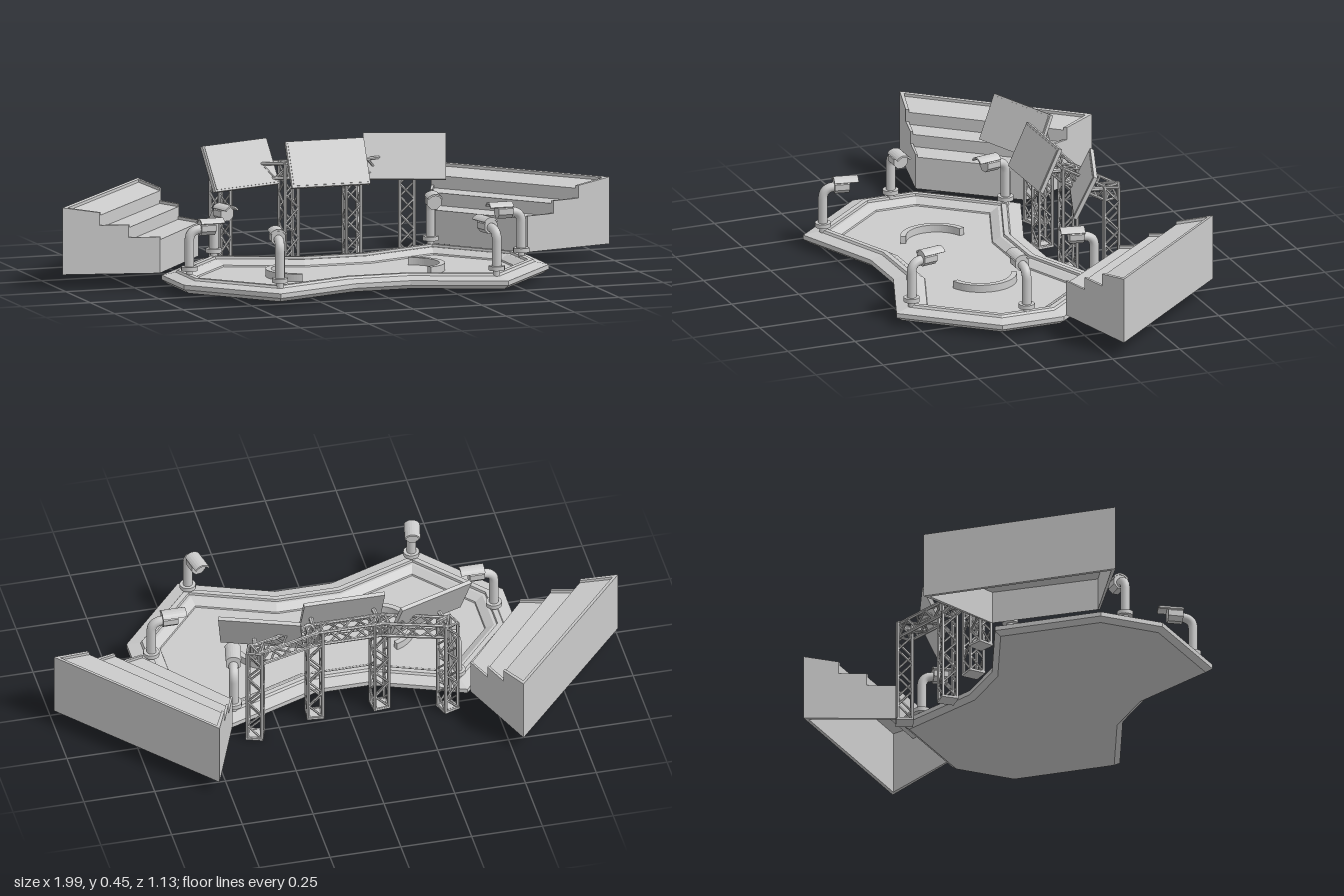
import * as THREE from 'three';
import { mergeGeometries } from 'three/addons/utils/BufferGeometryUtils.js';

const flat = new THREE.MeshStandardMaterial({ color: 0xcccccc, flatShading: true, side: THREE.DoubleSide });
const smooth = new THREE.MeshStandardMaterial({ color: 0xcccccc });
const V = (x, y, z) => new THREE.Vector3(x, y, z);

function add(parent, name, geo, mat = flat) {
  const mesh = new THREE.Mesh(geo, mat);
  mesh.name = name;
  parent.add(mesh);
  return mesh;
}

function fromTriangles(points) {
  const geo = new THREE.BufferGeometry().setFromPoints(points);
  geo.computeVertexNormals();
  return geo;
}

// ---- Platform: bow-tie outline, stacked as inset rings ----
const CZ = 0.155;
const half = [[0.1, 0.285], [0.415, 0.405], [0.665, 0.115], [0.665, -0.115], [0.415, -0.405], [0.1, -0.285]];
const outline = [...half, ...half.map(([x, z]) => [-x, z]).reverse()].map(([x, z]) => new THREE.Vector2(x, z + CZ));

function insetOutline(k) {
  const n = outline.length;
  const normal = (a, b) => new THREE.Vector2(b.y - a.y, a.x - b.x).normalize();
  return outline.map((p, i) => {
    const n1 = normal(outline[(i + n - 1) % n], p);
    const n2 = normal(p, outline[(i + 1) % n]);
    return n1.clone().add(n2).multiplyScalar(k / (1 + n1.dot(n2))).add(p);
  });
}

function cap(k, y) {
  const shape = new THREE.Shape(insetOutline(k).map(p => new THREE.Vector2(p.x, -p.y)));
  return new THREE.ShapeGeometry(shape).rotateX(-Math.PI / 2).translate(0, y, 0);
}

function buildPlatform(parent) {
  const group = new THREE.Group();
  group.name = 'platform';
  const profile = [[0.02, 0.015], [0, 0.03], [0, 0.046], [0.045, 0.056], [0.05, 0.064], [0.068, 0.064],
    [0.07, 0.056], [0.08, 0.056], [0.108, 0.04], [0.11, 0.035]];
  const rings = profile.map(([k, y]) => insetOutline(k).map(p => V(p.x, y, p.y)));
  const tris = [];
  for (let r = 0; r < rings.length - 1; r++) {
    const a = rings[r], b = rings[r + 1];
    a.forEach((p, i) => {
      const j = (i + 1) % a.length;
      tris.push(p, a[j], b[j], p, b[j], b[i]);
    });
  }
  add(group, 'rim', fromTriangles(tris));
  add(group, 'floor', cap(0.11, 0.035));
  const bottom = cap(0.02, 0.015);
  bottom.index.array.reverse();
  bottom.attributes.normal.array.forEach((v, i, arr) => { arr[i] = -v; });
  add(group, 'underside', bottom);

  // Curved benches on the floor
  for (const s of [-1, 1]) {
    const shape = new THREE.Shape();
    shape.absarc(0, 0, 0.125, -1.25, 1.25, false);
    shape.absarc(0, 0, 0.105, 1.25, -1.25, true);
    const bench = new THREE.ExtrudeGeometry(shape, { depth: 0.026, bevelEnabled: false, curveSegments: 16 });
    bench.rotateX(-Math.PI / 2);
    if (s < 0) bench.rotateY(Math.PI);
    add(group, 'bench', bench.translate(s * 0.195, 0.035, CZ));
  }
  parent.add(group);
}

// ---- Stands: stepped hollow shells on a trapezoid plan, u = depth, t = along the row ----
function buildStand(s) {
  const group = new THREE.Group();
  group.name = s > 0 ? 'leftStand' : 'rightStand';
  const map = (u, y, t) => {
    const back = V(0.42, y, -0.27).lerp(V(0.537, y, -0.567), u);
    const front = V(0.67, y, 0.035).lerp(V(0.997, y, -0.043), u);
    const p = back.lerp(front, t);
    p.x *= s;
    return p;
  };
  const steps = drop => [[0, 0.052], [0, 0.178 - drop], [0.32, 0.178 - drop], [0.32, 0.222 - drop],
    [0.62, 0.222 - drop], [0.62, 0.266 - drop], [1, 0.285 - drop], [1, 0.052]];
  const prism = (name, profile, t0, t1) => {
    const shape = new THREE.Shape(profile.map(p => new THREE.Vector2(...p)));
    const geo = new THREE.ExtrudeGeometry(shape, { depth: t1 - t0, bevelEnabled: false }).toNonIndexed();
    const pos = geo.attributes.position;
    for (let i = 0; i < pos.count; i++) {
      const p = map(pos.getX(i), pos.getY(i), pos.getZ(i) + t0);
      pos.setXYZ(i, p.x, p.y, p.z);
    }
    geo.computeVertexNormals();
    add(group, name, geo);
  };
  prism('endPanel', steps(0), 0, 0.02);
  prism('endPanel', steps(0), 0.98, 1);
  prism('backWall', [[0.96, 0.052], [0.96, 0.283], [1, 0.285], [1, 0.052]], 0, 1);
  const prof = steps(0.01), tris = [];
  for (let i = 0; i < prof.length - 1; i++) {
    const [a, b] = [prof[i], prof[i + 1]];
    const q = [map(...a, 0.02), map(...a, 0.98), map(...b, 0.98), map(...b, 0.02)];
    tris.push(q[0], q[1], q[2], q[0], q[2], q[3]);
  }
  add(group, 'steps', fromTriangles(tris));
  return group;
}

// ---- Lattice trusses ----
function bar(a, b, r) {
  const d = b.clone().sub(a);
  const geo = new THREE.CylinderGeometry(r, r, d.length(), 6);
  geo.applyQuaternion(new THREE.Quaternion().setFromUnitVectors(V(0, 1, 0), d.normalize()));
  const m = a.clone().add(b).multiplyScalar(0.5);
  return geo.translate(m.x, m.y, m.z);
}

function truss(a, b, side, size, bays) {
  const dir = b.clone().sub(a).normalize();
  const other = side.clone().cross(dir).normalize();
  const corners = [[-1, -1], [1, -1], [1, 1], [-1, 1]];
  const at = (c, f) => a.clone().lerp(b, f)
    .addScaledVector(side, corners[c % 4][0] * size / 2).addScaledVector(other, corners[c % 4][1] * size / 2);
  const bars = [];
  for (let c = 0; c < 4; c++) {
    bars.push(bar(at(c, 0), at(c, 1), 0.006));
    for (const f of [0, 1]) bars.push(bar(at(c, f), at(c + 1, f), 0.005));
    for (let i = 0; i < bays; i++) {
      const odd = i % 2;
      bars.push(bar(at(c + odd, i / bays), at(c + 1 - odd, (i + 1) / bays), 0.004));
    }
  }
  return mergeGeometries(bars);
}

function buildScreens(parent) {
  const group = new THREE.Group();
  group.name = 'screenRig';
  const nodes = [[-0.34, -0.272, 0.35], [-0.115, -0.205, 0.1], [0.115, -0.205, -0.1], [0.34, -0.272, -0.35]];
  nodes.forEach(([x, z, yaw], i) => {
    const side = V(Math.cos(yaw), 0, -Math.sin(yaw));
    add(group, 'trussColumn', truss(V(x, 0.006, z), V(x, 0.37, z), side, 0.05, 7));
    add(group, 'footPlate', new THREE.BoxGeometry(0.06, 0.008, 0.06).rotateY(yaw).translate(x, 0.004, z));
    add(group, 'bracket', bar(V(x, 0.36, z), V(x * 0.96, 0.36, z + 0.07), 0.008));
    if (i < 3) {
      const [x2, z2] = nodes[i + 1];
      const a = V(x, 0.345, z), b = V(x2, 0.345, z2);
      add(group, 'trussBeam', truss(a, b, V(0, 1, 0), 0.05, 5));
    }
  });

  // Three tilted screens in a shallow arc
  for (const s of [-1, 0, 1]) {
    const screen = new THREE.Group();
    screen.name = 'screen';
    add(screen, 'frame', new THREE.BoxGeometry(0.285, 0.166, 0.014));
    add(screen, 'panel', new THREE.BoxGeometry(0.272, 0.153, 0.004).translate(0, 0, 0.007));
    screen.rotation.order = 'YXZ';
    screen.rotation.set(-0.44, -s * 0.35, 0);
    screen.position.set(s * 0.3, 0.373, s ? -0.185 : -0.13);
    group.add(screen);
  }
  parent.add(group);
}

// ---- Posts with hooded heads, local forward is +z ----
function buildPost(x, z, yaw) {
  const post = new THREE.Group();
  post.name = 'post';
  add(post, 'stub', new THREE.CylinderGeometry(0.012, 0.012, 0.022, 12).translate(0, 0.066, 0), smooth);
  add(post, 'flange', new THREE.CylinderGeometry(0.028, 0.028, 0.015, 16).translate(0, 0.083, 0), smooth);
  const path = new THREE.CurvePath();
  path.add(new THREE.LineCurve3(V(0, 0.085, 0), V(0, 0.18, 0)));
  path.add(new THREE.QuadraticBezierCurve3(V(0, 0.18, 0), V(0, 0.218, 0), V(0, 0.218, 0.042)));
  add(post, 'pipe', new THREE.TubeGeometry(path, 24, 0.0165, 12), smooth);
  const drum = new THREE.CylinderGeometry(0.027, 0.027, 0.052, 8).rotateY(Math.PI / 8).rotateX(Math.PI / 2);
  add(post, 'head', drum.translate(0, 0.222, 0.064));
  // Arched hood reaching past the head
  const arch = new THREE.Shape();
  arch.absarc(0, 0, 0.032, 0.55, Math.PI - 0.55, false);
  arch.absarc(0, 0, 0.026, Math.PI - 0.55, 0.55, true);
  const hood = new THREE.ExtrudeGeometry(arch, { depth: 0.085, bevelEnabled: false, curveSegments: 4 });
  add(post, 'hood', hood.translate(0, 0.222, 0.036));
  post.position.set(x, 0, z);
  post.rotation.y = yaw;
  return post;
}

export function createModel() {
  const model = new THREE.Group();
  model.name = 'arena';
  buildPlatform(model);
  buildScreens(model);
  for (const s of [-1, 1]) {
    model.add(buildStand(s));
    model.add(buildPost(s * 0.605, CZ, -s * Math.PI / 2));
    model.add(buildPost(s * 0.395, CZ + 0.34, Math.PI + s * 0.2));
    model.add(buildPost(s * 0.395, CZ - 0.34, -s * 0.2));
  }
  return model;
}
